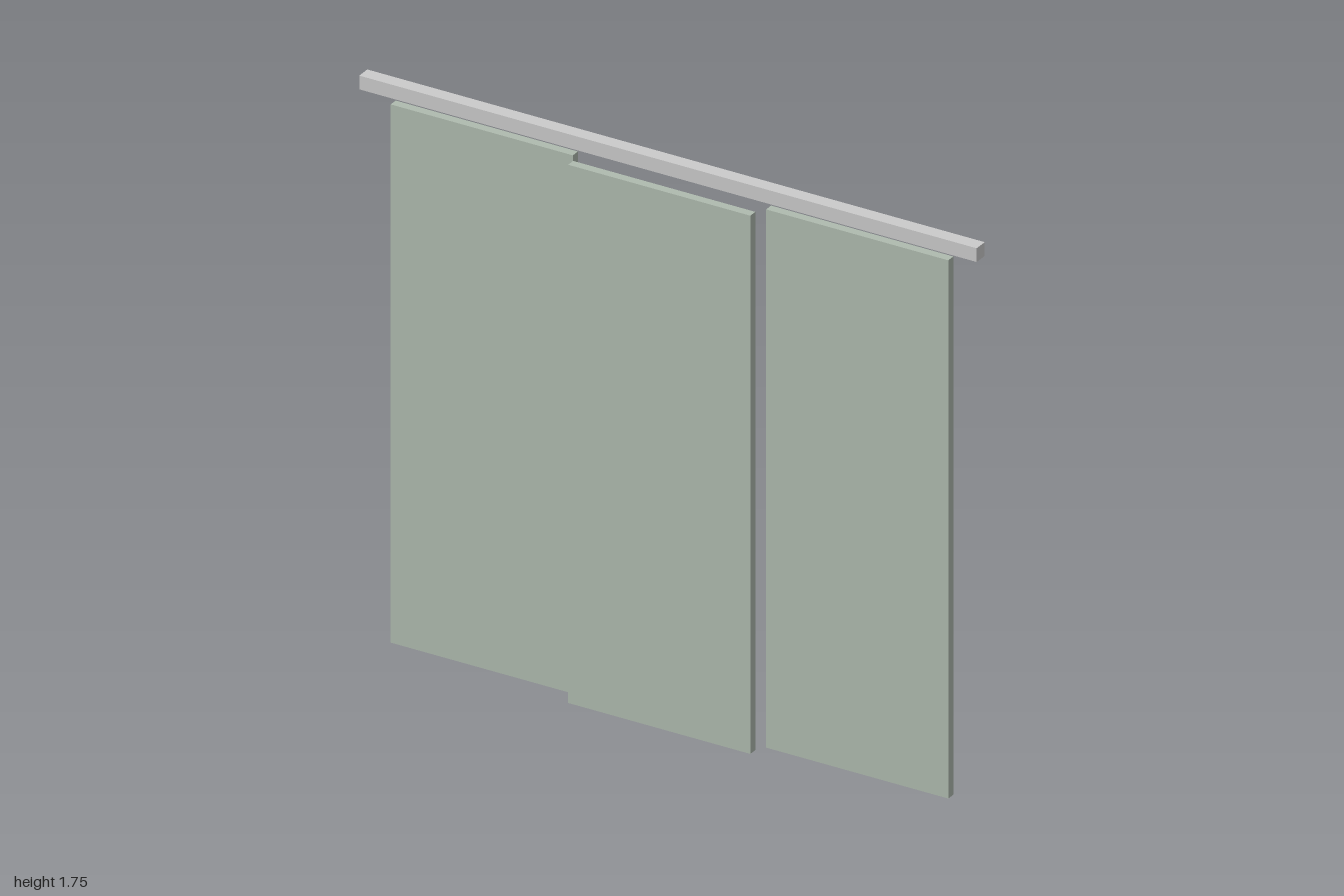
import * as THREE from 'three';

export function createModel() {
  const group = new THREE.Group();
  const railMaterial = new THREE.MeshStandardMaterial({ color: 0xcccccc });
  const panelMaterial = new THREE.MeshStandardMaterial({ color: 0xafbbaf });

  const addBox = (name, size, position, material) => {
    const mesh = new THREE.Mesh(new THREE.BoxGeometry(...size), material);
    mesh.name = name;
    mesh.position.set(...position);
    group.add(mesh);
  };

  const backZ = -0.0235;
  const frontZ = 0.0315;
  const panelSize = [0.59, 1.684, 0.027];
  const panelY = panelSize[1] / 2;

  // Overhead track
  addBox('topRail', [2, 0.043, 0.043], [0, 1.73, backZ], railMaterial);

  // Outer panels hang below the track, the middle one slides in front
  addBox('rightPanel', panelSize, [-0.608, panelY, backZ], panelMaterial);
  addBox('middlePanel', panelSize, [0, panelY, frontZ], panelMaterial);
  addBox('leftPanel', panelSize, [0.608, panelY, backZ], panelMaterial);

  return group;
}
